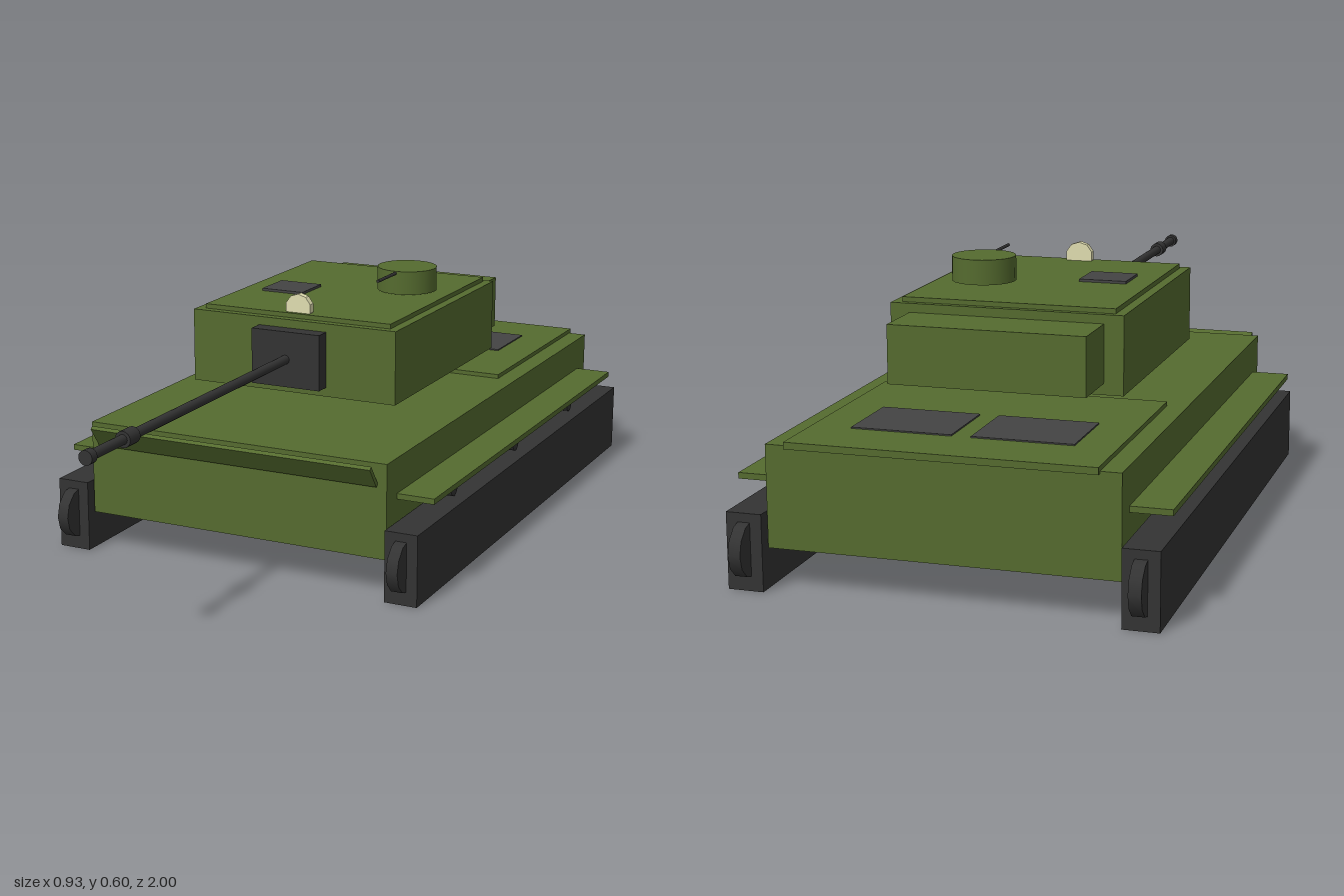
import * as THREE from 'three';

const paint = (color, flatShading = true) => new THREE.MeshStandardMaterial({ color, flatShading });

export function createModel() {
  const tank = new THREE.Group();
  tank.name = 'tank';
  const green = paint(0x556b2f), greenRound = paint(0x556b2f, false);
  const dark = paint(0x333333), steel = paint(0x333333, false);
  const grey = paint(0x444444), cream = paint(0xe0ddb0);

  const add = (parent, name, geometry, material, x, y, z) => {
    const mesh = new THREE.Mesh(geometry, material);
    mesh.name = name;
    mesh.position.set(x, y, z);
    parent.add(mesh);
    return mesh;
  };
  // Box given by its limits on each axis
  const box = (parent, name, material, [x0, x1], [y0, y1], [z0, z1]) =>
    add(parent, name, new THREE.BoxGeometry(x1 - x0, y1 - y0, z1 - z0), material,
      (x0 + x1) / 2, (y0 + y1) / 2, (z0 + z1) / 2);
  // Cylinder running along z between two ends
  const rod = (parent, name, material, r, x, y, z0, z1, sides = 16) =>
    add(parent, name, new THREE.CylinderGeometry(r, r, z1 - z0, sides).rotateX(Math.PI / 2),
      material, x, y, (z0 + z1) / 2);
  // Wheel with its axle along x
  const wheel = (parent, name, r, width, x, y, z, sides) =>
    add(parent, name, new THREE.CylinderGeometry(r, r, width, sides).rotateZ(Math.PI / 2),
      steel, x, y, z);

  // Hull, engine deck and front plate
  const hull = new THREE.Group();
  hull.name = 'hull';
  tank.add(hull);
  box(hull, 'hullBody', green, [-0.375, 0.375], [0.09, 0.31], [-0.93, 0.39]);
  box(hull, 'engineDeck', green, [-0.33, 0.33], [0.305, 0.32], [-0.94, -0.39]);
  for (const side of [-1, 1])
    box(hull, 'engineGrille', grey, [side * 0.131 - 0.11, side * 0.131 + 0.11], [0.315, 0.323], [-0.8, -0.62]);
  add(hull, 'frontPlate', new THREE.BoxGeometry(0.706, 0.06, 0.01), green, 0, 0.284, 0.41).rotation.x = 0.63;

  // Running gear and fenders on both sides
  for (const side of [-1, 1]) {
    const gear = new THREE.Group();
    gear.name = side > 0 ? 'leftRunningGear' : 'rightRunningGear';
    tank.add(gear);
    const x = side * 0.419;
    box(gear, 'track', dark, [x - 0.039, x + 0.039], [0, 0.166], [-0.95, 0.41]);
    box(gear, 'fender', green, [x - 0.045, x + 0.045], [0.215, 0.228], [-0.875, 0.335]);
    wheel(gear, 'frontSprocket', 0.06, 0.027, x, 0.089, 0.4, 12);
    wheel(gear, 'rearIdler', 0.06, 0.027, x, 0.089, -0.94, 12);
    for (const z of [0.13, -0.265, -0.66])
      wheel(gear, 'returnRoller', 0.019, 0.018, x, 0.188, z, 12);
  }

  // Turret
  const turret = new THREE.Group();
  turret.name = 'turret';
  tank.add(turret);
  box(turret, 'turretBody', green, [-0.264, 0.264], [0.355, 0.53], [-0.51, 0.1]);
  box(turret, 'turretRoof', green, [-0.242, 0.242], [0.528, 0.541], [-0.495, 0.08]);
  box(turret, 'bustle', green, [-0.22, 0.22], [0.38, 0.51], [-0.645, -0.5]);
  box(turret, 'hatch', grey, [-0.188, -0.078], [0.538, 0.547], [-0.213, -0.108]);
  add(turret, 'cupola', new THREE.CylinderGeometry(0.073, 0.073, 0.057, 24), greenRound, 0.13, 0.5735, -0.27);
  rod(turret, 'cupolaGun', steel, 0.004, 0.13, 0.597, -0.29, -0.095, 8);
  rod(turret, 'searchlight', cream, 0.033, 0, 0.553, 0.053, 0.07, 10);

  // Gun
  const gun = new THREE.Group();
  gun.name = 'gun';
  turret.add(gun);
  box(gun, 'mantlet', dark, [-0.088, 0.088], [0.377, 0.51], [0.1, 0.138]);
  rod(gun, 'barrel', steel, 0.011, 0, 0.443, 0.13, 0.995);
  rod(gun, 'barrelCollar', steel, 0.018, 0, 0.443, 0.82, 0.86);
  rod(gun, 'muzzle', steel, 0.016, 0, 0.443, 0.98, 1);

  return tank;
}
